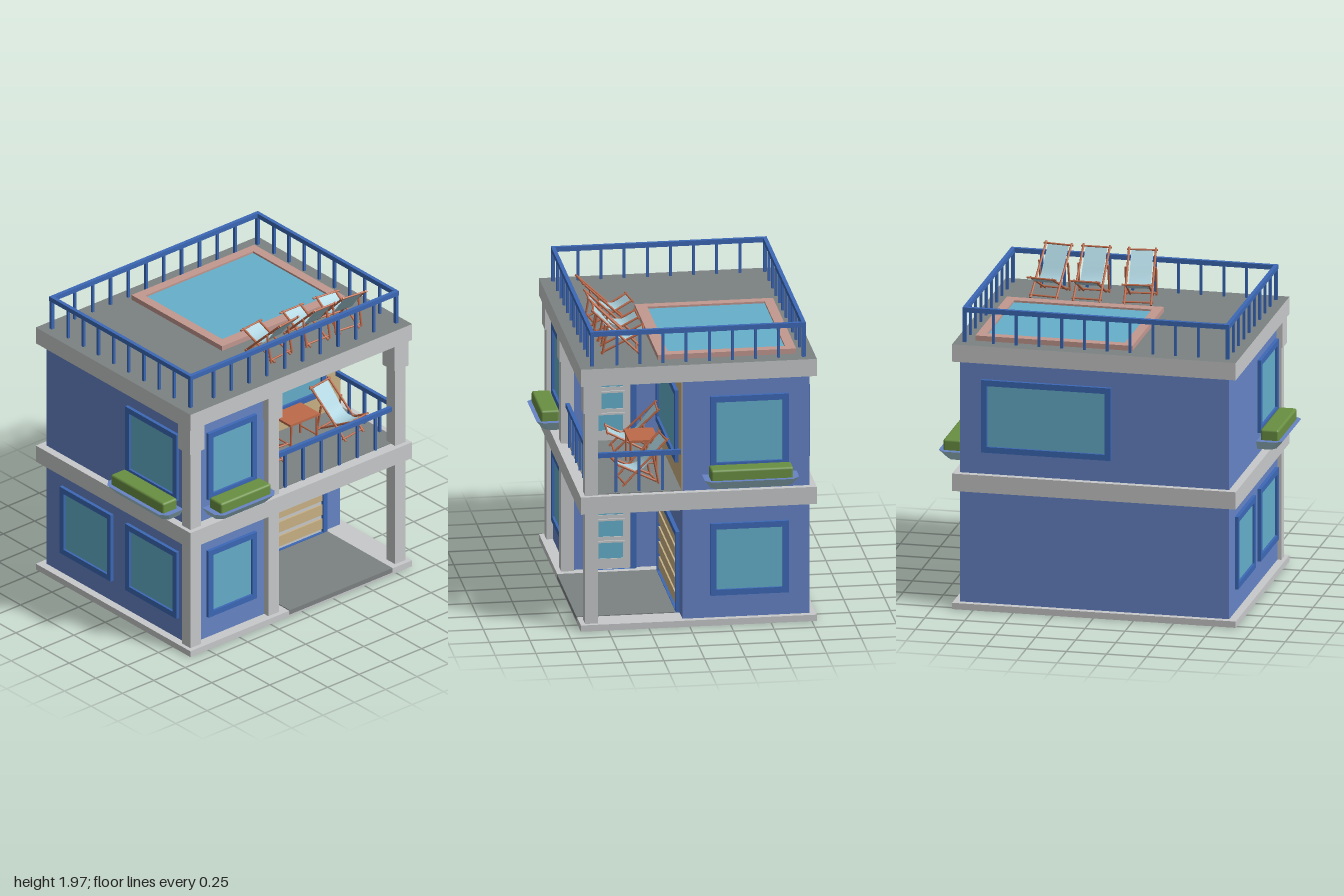
import * as THREE from 'three';
import { RoundedBoxGeometry } from 'three/addons/geometries/RoundedBoxGeometry.js';

const mat = (name, color, extra = {}) => Object.assign(new THREE.MeshStandardMaterial({ color, ...extra }), { name });

export function createModel() {
  const wall = mat('wallBlue', 0x6684c6), trim = mat('trimBlue', 0x3c69b8), glass = mat('glass', 0x65afcb);
  const stone = mat('paleStone', 0xc8c9ca), deck = mat('deckGrey', 0x7c8182), tan = mat('tan', 0xc9b184);
  const pink = mat('poolTile', 0xc2988f), leaf = mat('hedgeGreen', 0x6a9043), wood = mat('wood', 0xbe6a4a);
  const cloth = mat('cloth', 0xa9cfdb, { side: THREE.DoubleSide });

  const house = new THREE.Group();
  house.name = 'house';

  const add = (parent, name, geo, m) => {
    const mesh = new THREE.Mesh(geo, m);
    mesh.name = name;
    parent.add(mesh);
    return mesh;
  };
  const box = (name, m, x0, x1, y0, y1, z0, z1, parent = house) => {
    const b = add(parent, name, new THREE.BoxGeometry(x1 - x0, y1 - y0, z1 - z0), m);
    b.position.set((x0 + x1) / 2, (y0 + y1) / 2, (z0 + z1) / 2);
    return b;
  };
  const group = (name, x, y, z, ry = 0, parent = house) => {
    const g = new THREE.Group();
    g.name = name;
    g.position.set(x, y, z);
    g.rotation.y = ry;
    parent.add(g);
    return g;
  };
  const rod = (parent, name, a, b, r = 0.007) => {
    const p = new THREE.Vector3(...a), q = new THREE.Vector3(...b), d = q.clone().sub(p);
    const mesh = add(parent, name, new THREE.CylinderGeometry(r, r, d.length(), 8), wood);
    mesh.position.copy(p).add(q).multiplyScalar(0.5);
    mesh.quaternion.setFromUnitVectors(new THREE.Vector3(0, 1, 0), d.normalize());
  };
  // rectangular ring, facing local +z and centred on its group
  const ring = (parent, name, m, w, h, border, depth) => {
    const rect = (C, a, b) => {
      const s = new C();
      s.moveTo(-a, -b); s.lineTo(a, -b); s.lineTo(a, b); s.lineTo(-a, b); s.closePath();
      return s;
    };
    const s = rect(THREE.Shape, w / 2, h / 2);
    s.holes.push(rect(THREE.Path, w / 2 - border, h / 2 - border));
    return add(parent, name, new THREE.ExtrudeGeometry(s, { depth, bevelEnabled: false }), m);
  };

  // slabs and storeys
  box('baseSlab', stone, -0.89, 0.88, 0, 0.04, -0.78, 0.67);
  box('middleSlab', stone, -0.89, 0.88, 0.75, 0.86, -0.78, 0.67);
  box('roofSlab', [stone, stone, deck, deck, stone, stone], -0.89, 0.88, 1.57, 1.68, -0.78, 0.67);
  for (const [y0, y1] of [[0.04, 0.75], [0.86, 1.57]]) {
    box('leftRoom', wall, -0.84, -0.18, y0, y1, -0.74, 0.6);
    box('rightRoom', wall, -0.18, 0.84, y0, y1, -0.74, 0.04);
    for (const x of [-0.822, -0.2, 0.812]) box('pillar', stone, x - 0.042, x + 0.042, y0, y1, 0.56, 0.64);
  }
  for (const x of [-0.82, -0.195, 0.81]) box('capital', stone, x - 0.057, x + 0.057, 1.39, 1.57, 0.54, 0.652);
  box('balconyWall', tan, -0.18, 0.84, 0.86, 1.57, 0.04, 0.046);
  box('balconyFloor', deck, -0.18, 0.84, 0.86, 0.864, 0.04, 0.6);
  box('driveway', deck, -0.1, 0.72, 0.015, 0.045, 0.04, 0.674);

  // windows
  const FRONT = 0, RIGHT = Math.PI / 2, BACK = Math.PI, LEFT = -Math.PI / 2;
  const addWindow = (x, y, z, ry, w, h = 0.46) => {
    const g = group('window', x, y, z, ry);
    ring(g, 'windowFrame', trim, w, h, 0.037, 0.022);
    box('windowGlass', glass, -w / 2 + 0.03, w / 2 - 0.03, -h / 2 + 0.03, h / 2 - 0.03, 0, 0.007, g);
  };
  for (const y of [0.415, 1.23]) {
    addWindow(-0.51, y, 0.6, FRONT, 0.385);
    addWindow(0.84, y, -0.37, RIGHT, 0.48);
    addWindow(-0.84, y, 0.265, LEFT, 0.48);
  }
  addWindow(-0.84, 0.415, -0.35, LEFT, 0.48);
  addWindow(0.3, 1.23, -0.74, BACK, 0.81);
  addWindow(0.305, 1.23, 0.046, FRONT, 0.81);

  // side doors, each with three panes
  for (const floor of [0.04, 0.86]) {
    const g = group('door', -0.18, floor, 0.335, RIGHT);
    ring(g, 'doorFrame', trim, 0.315, 0.55, 0.035, 0.024).position.y = 0.24;
    box('doorLeaf', stone, -0.125, 0.125, 0, 0.485, 0, 0.009, g);
    for (let i = 0; i < 3; i++) {
      const y = 0.118 + i * 0.14;
      ring(g, 'paneFrame', stone, 0.175, 0.125, 0.012, 0.018).position.y = y;
      box('pane', glass, -0.078, 0.078, y - 0.053, y + 0.053, 0.005, 0.012, g);
    }
  }

  // garage door
  const garage = group('garageDoor', 0.31, 0, 0.04);
  ring(garage, 'garageFrame', trim, 0.82, 0.54, 0.033, 0.024).position.y = 0.286;
  box('garageBacking', stone, -0.38, 0.38, 0.045, 0.53, 0, 0.006, garage);
  for (let i = 0; i < 5; i++) box('garagePanel', tan, -0.38, 0.38, 0.07 + i * 0.097, 0.14 + i * 0.097, 0, 0.016, garage);

  // flower boxes: flared trough with cut corners
  const addPlanter = (x, z, ry, w) => {
    const g = group('flowerBox', x, 0, z, ry), d = 0.16, c = 0.04, h = 0.058, a = w / 2;
    const s = new THREE.Shape([[-a, 0], [a, 0], [a, d - c], [a - c, d], [c - a, d], [-a, d - c]].map(p => new THREE.Vector2(...p)));
    const geo = new THREE.ExtrudeGeometry(s, { depth: h, bevelEnabled: false });
    const p = geo.attributes.position;
    for (let i = 0; i < p.count; i++) {
      if (p.getZ(i) > h / 2) p.setXY(i, p.getX(i) * (1 - 0.08 / w), p.getY(i) * 0.7);
    }
    geo.rotateX(Math.PI / 2);
    geo.computeVertexNormals();
    add(g, 'trough', geo, [wall, cloth]).position.y = 0.958;
    add(g, 'hedge', new RoundedBoxGeometry(w - 0.075, 0.08, 0.115, 2, 0.014), leaf).position.set(0, 0.985, 0.076);
  };
  addPlanter(-0.505, 0.61, FRONT, 0.475);
  addPlanter(0.84, -0.37, RIGHT, 0.58);
  addPlanter(-0.84, 0.265, LEFT, 0.57);

  // roof railing
  const rail = (x0, x1, y, z0, z1) => box('handrail', trim, x0, x1, y - 0.03, y, z0, z1);
  const post = (x, z, y0, y1, r = 0.008) => box('railPost', trim, x - r, x + r, y0, y1, z - r, z + r);
  for (const z of [-0.708, 0.593]) {
    rail(-0.835, 0.83, 1.9, z - 0.012, z + 0.012);
    for (const x of [-0.823, 0.818]) post(x, z, 1.68, 1.88, 0.011);
    for (let i = 0; i < 10; i++) post(-0.64 + i * 0.142, z, 1.68, 1.88);
  }
  for (const x of [-0.823, 0.818]) {
    rail(x - 0.012, x + 0.012, 1.9, -0.708, 0.593);
    for (let i = 0; i < 8; i++) post(x, -0.554 + i * 0.142, 1.68, 1.88);
  }

  // balcony railing
  rail(-0.16, 0.78, 1.118, 0.588, 0.612);
  rail(0.8, 0.824, 1.118, 0.046, 0.57);
  for (let i = 0; i < 6; i++) post(-0.075 + i * 0.144, 0.6, 0.86, 1.1);
  for (let i = 0; i < 3; i++) post(0.812, 0.16 + i * 0.142, 0.86, 1.1);

  // pool
  box('poolEdge', pink, -0.22, -0.16, 1.68, 1.712, -0.67, 0.18);
  box('poolEdge', pink, 0.7, 0.76, 1.68, 1.712, -0.67, 0.18);
  box('poolEdge', pink, -0.16, 0.7, 1.68, 1.712, -0.67, -0.61);
  box('poolEdge', pink, -0.16, 0.7, 1.68, 1.712, 0.11, 0.18);
  box('poolWater', glass, -0.16, 0.7, 1.68, 1.7, -0.61, 0.11);

  // folding deck chair, facing local -z
  const sag = new THREE.CatmullRomCurve3([[0.155, 0.275], [0.085, 0.19], [0.01, 0.105], [-0.07, 0.095], [-0.15, 0.14]]
    .map(([z, y]) => new THREE.Vector3(0, y, z)));
  const addChair = (x, y, z, ry) => {
    const g = group('deckChair', x, y, z, ry);
    for (const s of [-1, 1]) {
      rod(g, 'backRail', [s * 0.082, 0.285, 0.165], [s * 0.082, 0.006, -0.125]);
      rod(g, 'seatRail', [s * 0.07, 0.145, -0.155], [s * 0.07, 0.006, 0.11]);
      rod(g, 'prop', [s * 0.093, 0.19, 0.065], [s * 0.093, 0.006, 0.1]);
    }
    for (const [cy, cz] of [[0.275, 0.155], [0.14, -0.15], [0.02, -0.11], [0.02, 0.09]])
      rod(g, 'crossbar', [-0.095, cy, cz], [0.095, cy, cz], 0.006);
    const geo = new THREE.PlaneGeometry(0.135, 1, 1, 12), p = geo.attributes.position;
    for (let i = 0; i < p.count; i++) {
      const q = sag.getPoint(0.5 - p.getY(i));
      p.setXYZ(i, -p.getX(i), q.y, q.z);
    }
    geo.computeVertexNormals();
    add(g, 'sling', geo, cloth);
  };
  addChair(-0.02, 1.68, 0.39, 0.12);
  addChair(0.285, 1.68, 0.39, 0);
  addChair(0.54, 1.68, 0.39, -0.12);
  addChair(0.035, 0.864, 0.24, Math.PI - 0.05);
  addChair(0.63, 0.864, 0.28, Math.PI + 0.15);

  // balcony table
  const table = group('table', 0.332, 0.864, 0.22);
  box('tableTop', wood, -0.118, 0.118, 0.185, 0.2, -0.09, 0.09, table);
  for (const x of [-0.105, 0.105]) {
    for (const z of [-0.078, 0.078]) rod(table, 'tableLeg', [x, 0, z], [x * 0.95, 0.19, z]);
    rod(table, 'tableBrace', [x, 0.05, -0.078], [x, 0.05, 0.078], 0.005);
  }
  return house;
}
